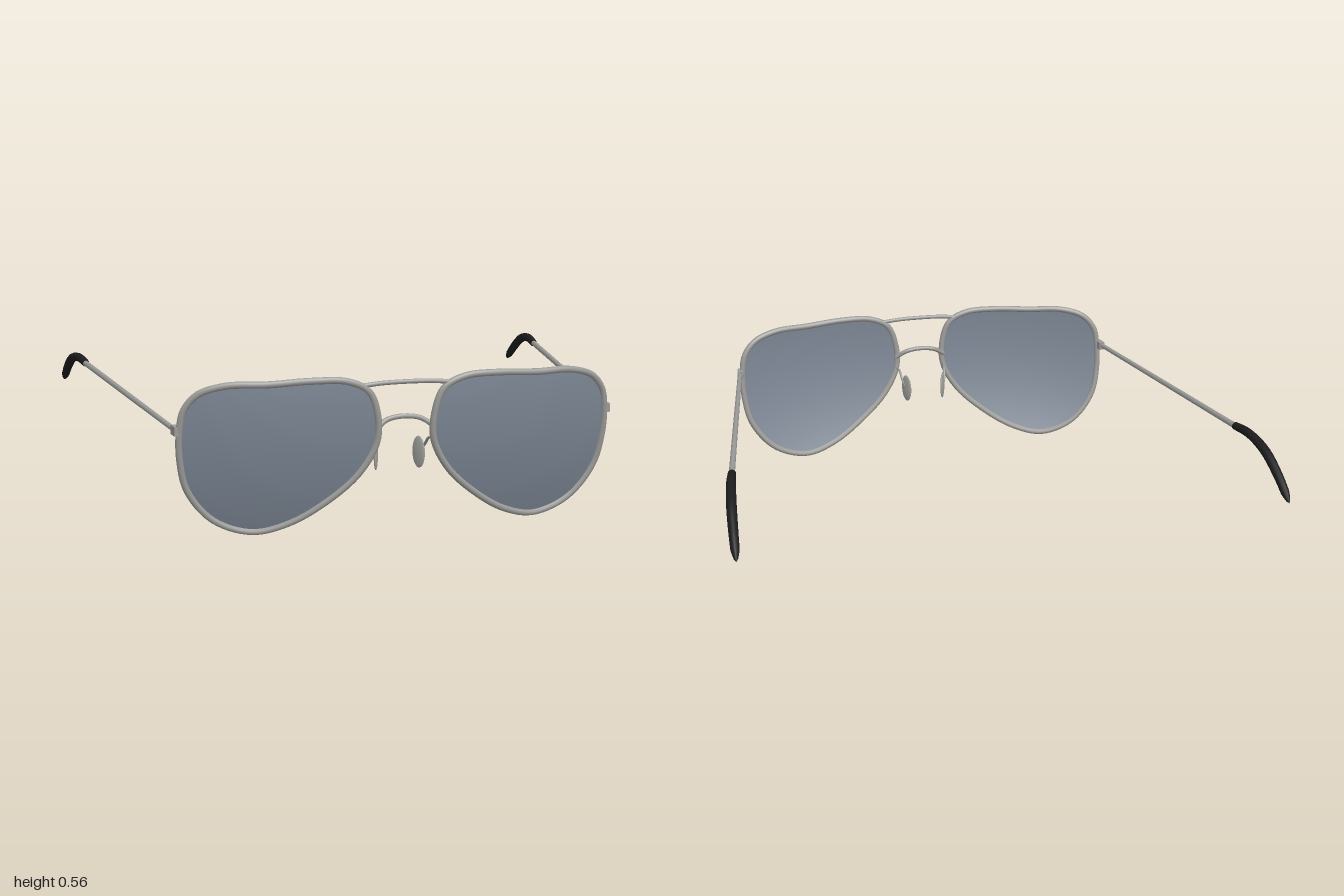
import * as THREE from 'three';

const frameMetal = new THREE.MeshStandardMaterial({ color: 0x9a9a98 });
frameMetal.name = 'frameMetal';
const lensTint = new THREE.MeshStandardMaterial({ color: 0x7b8593, side: THREE.DoubleSide });
lensTint.name = 'lensTint';
const tipBlack = new THREE.MeshStandardMaterial({ color: 0x1c1c1e });
tipBlack.name = 'tipBlack';
const padGrey = new THREE.MeshStandardMaterial({ color: 0xa6a6a2 });
padGrey.name = 'padGrey';

// Rim outline of the left lens (x, y), counter-clockwise
const OUTLINE = [
  [0.768, 0.40], [0.755, 0.46], [0.71, 0.513], [0.62, 0.542], [0.48, 0.545], [0.33, 0.553],
  [0.21, 0.547], [0.135, 0.51], [0.103, 0.43], [0.102, 0.33], [0.16, 0.22], [0.275, 0.115],
  [0.40, 0.04], [0.52, 0.013], [0.65, 0.06], [0.74, 0.17], [0.768, 0.29],
];

// Wrapped, tilted front surface shared by rims and lenses
const faceZ = (x, y) => 0.83 - 0.28 * (x - 0.2) ** 2 - 0.395 * (y - 0.5) ** 2;

const curveOf = (points, side = 1, closed = false) => new THREE.CatmullRomCurve3(
  points.map(([x, y, z]) => new THREE.Vector3(x * side, y, z)), closed);

function add(parent, name, geometry, material) {
  const mesh = new THREE.Mesh(geometry, material);
  mesh.name = name;
  parent.add(mesh);
  return mesh;
}

// Tube whose radius follows radiusAt(t); a radius of zero closes an end
function taperedTube(curve, segments, sides, radiusAt) {
  const geometry = new THREE.TubeGeometry(curve, segments, 1, sides);
  const pos = geometry.attributes.position;
  const v = new THREE.Vector3();
  for (let i = 0; i <= segments; i++) {
    const center = curve.getPointAt(i / segments);
    for (let j = 0; j <= sides; j++) {
      const k = i * (sides + 1) + j;
      v.fromBufferAttribute(pos, k).sub(center).multiplyScalar(radiusAt(i / segments)).add(center);
      pos.setXYZ(k, v.x, v.y, v.z);
    }
  }
  return geometry;
}

// Curved lens made of concentric copies of the outline
function lensGeometry(outline, side) {
  const rings = 10, count = 96, cx = 0.45, cy = 0.31;
  const positions = [], index = [];
  for (let r = 0; r <= rings; r++) {
    for (let i = 0; i < count; i++) {
      const p = outline.getPoint(i / count);
      const x = cx + (p.x - cx) * r / rings;
      const y = cy + (p.y - cy) * r / rings;
      positions.push(x * side, y, faceZ(x, y));
      if (r === rings) continue;
      const a = r * count + i, b = r * count + (i + 1) % count;
      const c = a + count, d = b + count;
      const tris = r === 0 ? [a, c, d] : [a, c, d, a, d, b];
      index.push(...(side > 0 ? tris : tris.reverse()));
    }
  }
  const geometry = new THREE.BufferGeometry();
  geometry.setAttribute('position', new THREE.Float32BufferAttribute(positions, 3));
  geometry.setIndex(index);
  geometry.computeVertexNormals();
  return geometry;
}

function createSide(side) {
  const group = new THREE.Group();
  group.name = side > 0 ? 'leftSide' : 'rightSide';
  const points = OUTLINE.map(([x, y]) => [x, y, faceZ(x, y)]);

  // Rim and lens
  add(group, 'rim', new THREE.TubeGeometry(curveOf(points, side, true), 120, 0.012, 10, true), frameMetal);
  add(group, 'lens', lensGeometry(curveOf(points, 1, true), side), lensTint);

  // Nose pad on a bent wire
  const wire = curveOf([[0.104, 0.33, 0.805], [0.097, 0.325, 0.775], [0.092, 0.295, 0.745], [0.082, 0.27, 0.722]], side);
  add(group, 'padArm', new THREE.TubeGeometry(wire, 16, 0.005, 8), frameMetal);
  const pad = add(group, 'nosePad', new THREE.SphereGeometry(1, 20, 14), padGrey);
  pad.scale.set(0.007, 0.057, 0.033);
  pad.position.set(0.078 * side, 0.264, 0.722);
  pad.rotation.y = 0.4 * side;

  // Hinge between rim and temple
  const hinge = add(group, 'hinge', new THREE.BoxGeometry(0.022, 0.032, 0.045), frameMetal);
  hinge.position.set(0.779 * side, 0.388, 0.722);
  hinge.rotation.y = -0.14 * side;

  // Straight temple arm, slightly thicker towards the back
  const arm = curveOf([[0.78, 0.389, 0.73], [0.862, 0.411, 0.165], [0.945, 0.433, -0.41]], side);
  add(group, 'temple', taperedTube(arm, 24, 10, (t) => 0.009 + 0.002 * t), frameMetal);

  // Curved ear tip with rounded ends
  const tip = curveOf([[0.943, 0.433, -0.40], [0.959, 0.44, -0.51], [0.973, 0.418, -0.63],
    [0.982, 0.363, -0.74], [0.987, 0.297, -0.838]], side);
  const tipRadius = (t) => {
    if (t === 0 || t === 1) return 0;
    const body = 0.0145 + 0.0035 * Math.sin(Math.PI * t);
    return body * Math.min(1, Math.sqrt((1 - t) / 0.1));
  };
  add(group, 'earTip', taperedTube(tip, 40, 12, tipRadius), tipBlack);
  return group;
}

export function createModel() {
  const model = new THREE.Group();
  model.name = 'sunglasses';
  model.add(createSide(1), createSide(-1));

  // Brow bar and arched bridge
  const bar = curveOf([[-0.16, 0.529, 0.828], [-0.08, 0.536, 0.829], [0.08, 0.536, 0.829], [0.16, 0.529, 0.828]]);
  add(model, 'browBar', new THREE.TubeGeometry(bar, 24, 0.008, 10), frameMetal);
  const bridge = curveOf([[-0.103, 0.375, 0.812], [-0.06, 0.402, 0.799], [0, 0.411, 0.797],
    [0.06, 0.402, 0.799], [0.103, 0.375, 0.812]]);
  add(model, 'bridge', new THREE.TubeGeometry(bridge, 28, 0.009, 10), frameMetal);
  return model;
}
